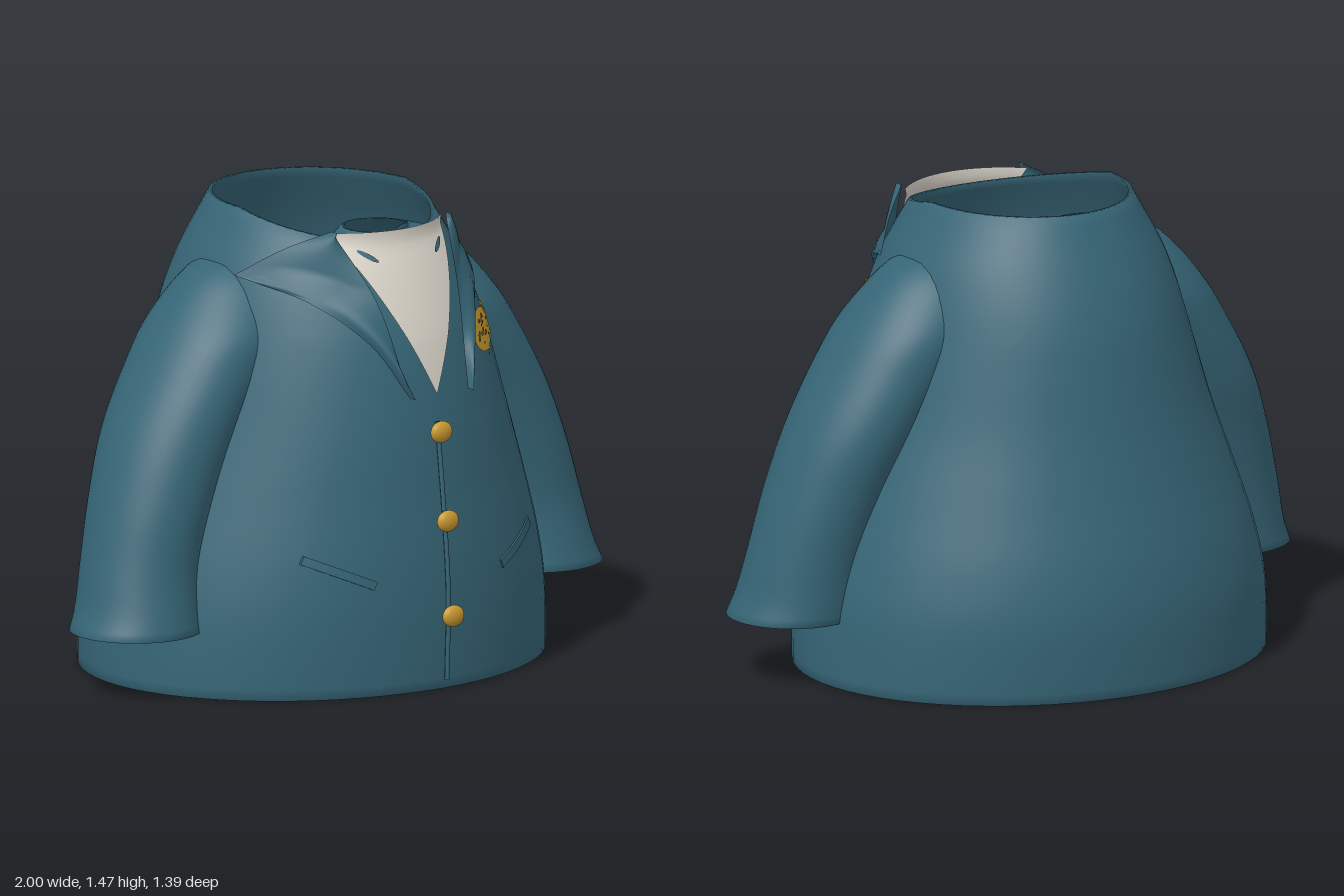
import * as THREE from 'three';
import { mergeGeometries } from 'three/addons/utils/BufferGeometryUtils.js';

const mat = (name, color) => new THREE.MeshStandardMaterial({ name, color, side: THREE.DoubleSide });

// Horizontal sections: [y, xMin, xMax, zBack, zFront]
const BODY = [
  [0, -0.765, 0.765, -0.68, 0.63], [0.1, -0.763, 0.763, -0.687, 0.636], [0.25, -0.75, 0.75, -0.69, 0.64],
  [0.4, -0.715, 0.715, -0.67, 0.635], [0.6, -0.65, 0.65, -0.62, 0.615], [0.8, -0.58, 0.58, -0.572, 0.595],
  [1.0, -0.52, 0.52, -0.532, 0.56], [1.1, -0.49, 0.49, -0.51, 0.535], [1.2, -0.46, 0.46, -0.478, 0.505],
  [1.3, -0.423, 0.423, -0.435, 0.47], [1.4, -0.37, 0.37, -0.385, 0.43], [1.465, -0.335, 0.335, -0.35, 0.4],
];
const SLEEVE = [
  [0.205, 0.585, 1.0, -0.11, 0.302], [0.26, 0.59, 0.975, -0.112, 0.29], [0.4, 0.575, 0.94, -0.122, 0.265],
  [0.6, 0.51, 0.885, -0.155, 0.26], [0.8, 0.41, 0.81, -0.195, 0.26], [1.0, 0.27, 0.7, -0.216, 0.262],
  [1.1, 0.19, 0.635, -0.22, 0.255], [1.2, 0.11, 0.555, -0.195, 0.215], [1.26, 0.085, 0.495, -0.165, 0.18],
  [1.3, 0.09, 0.435, -0.13, 0.14], [1.325, 0.12, 0.34, -0.1, 0.11],
];

// Smooth section lookup by height
function sections(rows) {
  const spline = new THREE.CubicInterpolant(
    new Float32Array(rows.map((r) => r[0])), new Float32Array(rows.flatMap((r) => r.slice(1))), 4);
  return (y) => {
    const [x0, x1, z0, z1] = spline.evaluate(y);
    return { cx: (x0 + x1) / 2, rx: (x1 - x0) / 2, cz: (z0 + z1) / 2, rz: (z1 - z0) / 2 };
  };
}
const bodyAt = sections(BODY);
const NECK_DROP = 0.08, DROP_START = 1.1, DROP_RANGE = 0.365;
const neckSlope = (y, c) => y - NECK_DROP * Math.max(0, c) * Math.max(0, (y - DROP_START) / DROP_RANGE);

// Height of the front body surface at (x, y)
function frontZ(x, y) {
  let t = y;
  if (y > DROP_START) {
    const k = (NECK_DROP / DROP_RANGE) * Math.sqrt(Math.max(0, 1 - (x / 0.42) ** 2));
    t = Math.min(1.465, (y - DROP_START * k) / (1 - k));
  }
  const s = bodyAt(t);
  return s.cz + s.rz * Math.sqrt(Math.max(0, 1 - (x / s.rx) ** 2));
}

// Open cloth tube with an outer and an inner wall
function clothTube(rows, side = 1, warp = (y) => y, wall = 0.014, seg = 64, steps = 44) {
  const at = sections(rows), y0 = rows[0][0], y1 = rows[rows.length - 1][0];
  const pos = [], idx = [], rings = 2 * (steps + 1);
  for (let j = 0; j < rings; j++) {
    const inner = j > steps, f = (inner ? rings - 1 - j : j) / steps;
    const y = y0 + (y1 - y0) * f, s = at(y), w = inner ? wall : 0;
    for (let i = 0; i < seg; i++) {
      const a = (i / seg) * Math.PI * 2;
      pos.push(side * s.cx + (s.rx - w) * Math.sin(a), warp(y, Math.cos(a)), s.cz + (s.rz - w) * Math.cos(a));
    }
  }
  for (let j = 0; j < rings; j++) for (let i = 0; i < seg; i++) {
    const n = (j + 1) % rings, k = (i + 1) % seg;
    const a = j * seg + i, b = j * seg + k, c = n * seg + k, d = n * seg + i;
    idx.push(a, b, c, a, c, d);
  }
  const g = new THREE.BufferGeometry();
  g.setAttribute('position', new THREE.Float32BufferAttribute(pos, 3));
  g.setIndex(idx);
  g.computeVertexNormals();
  return g;
}

// Grid surface from a rule (u, v) -> [x, y, z]
function patch(rule, nu, nv) {
  const g = new THREE.PlaneGeometry(1, 1, nu, nv), p = g.attributes.position;
  for (let i = 0; i < p.count; i++) p.setXYZ(i, ...rule(p.getX(i) + 0.5, p.getY(i) + 0.5));
  g.computeVertexNormals();
  return g;
}

// Lays a flat geometry onto the front of the body
function layOnFront(g, offset) {
  const p = g.attributes.position;
  for (let i = 0; i < p.count; i++) p.setZ(i, p.getZ(i) + frontZ(p.getX(i), p.getY(i)) + offset);
  g.computeVertexNormals();
  return g;
}

function lapel(side) {
  const V = (x, y, z) => new THREE.Vector3(x, y, z);
  const inner = new THREE.CatmullRomCurve3([V(0.225, 1.43, 0.355), V(0.16, 1.22, 0.5), V(0.115, 0.93, 0.605)]);
  const top = new THREE.CatmullRomCurve3([V(0.225, 1.43, 0.355), V(0.335, 1.37, 0.25), V(0.44, 1.285, 0.14)]);
  const low = new THREE.CatmullRomCurve3(
    [V(0.44, 1.285, 0.14), V(0.32, 1.215, 0.37), V(0.2, 1.09, 0.525), V(0.115, 0.93, 0.605)]);
  return patch((u, v) => {
    const t = 1 - v, split = 0.4;
    const o = t < split ? top.getPoint(t / split) : low.getPoint((t - split) / (1 - split));
    const p = inner.getPoint(t).lerp(o, u);
    const z = Math.max(p.z + 0.03 * Math.sin(Math.PI * u), frontZ(p.x, p.y) + 0.03);
    return [side * p.x, p.y, u > 0.99 && p.x > 0.36 ? p.z : z];
  }, 12, 40);
}

export function createModel() {
  const jacket = new THREE.Group();
  jacket.name = 'jacket';
  const cloth = mat('teal cloth', 0x366576), shirt = mat('off-white shirt', 0xd8d2c7);
  const gold = mat('gold', 0xc8982f), dark = mat('dark bronze', 0x6a5a30);
  const add = (name, geometry, material) => {
    const m = new THREE.Mesh(geometry, material);
    m.name = name;
    jacket.add(m);
    return m;
  };

  add('body', clothTube(BODY, 1, neckSlope), cloth);

  // Shirt front: a V filling the neck
  add('shirtFront', patch((u, v) => {
    const x = (u * 2 - 1) * 0.225 * v, y = 0.925 + 0.497 * v;
    return [x, y, frontZ(x, y) + 0.022 + 0.01 * v];
  }, 16, 20), shirt);

  // Mirrored parts
  for (const side of [1, -1]) {
    const label = side > 0 ? 'left' : 'right';
    add(label + 'Sleeve', clothTube(SLEEVE, side, undefined, 0.012, 48), cloth);
    add(label + 'Lapel', lapel(side), cloth);

    const welt = new THREE.BoxGeometry(0.218, 0.028, 0.008, 10, 1, 1);
    welt.rotateZ(side * 0.42).translate(side * 0.35, 0.398, 0);
    add(label + 'Pocket', layOnFront(welt, 0.006).toNonIndexed(), cloth).geometry.computeVertexNormals();

    // Small slit on the shirt
    const slit = new THREE.CircleGeometry(1, 12);
    slit.scale(0.032, 0.008, 1).rotateZ(side * 0.6).translate(side * 0.138, 1.352, 0);
    add(label + 'ShirtSlit', layOnFront(slit, 0.036), cloth);
  }

  // Front closure and buttons
  const seam = new THREE.CatmullRomCurve3([[0.03, 0.645], [0.3, 0.652], [0.55, 0.632], [0.84, 0.597]]
    .map(([y, z]) => new THREE.Vector3(0, y, z)));
  add('frontSeam', new THREE.TubeGeometry(seam, 20, 0.008, 6), cloth);
  for (const [y, z] of [[0.81, 0.618], [0.533, 0.65], [0.237, 0.677]]) {
    const b = add('button', new THREE.SphereGeometry(1, 24, 16), gold);
    b.scale.set(0.04, 0.034, 0.021);
    b.position.set(0, y, z);
  }

  // Chest badge with ragged edge and specks
  let seed = 7;
  const rnd = () => (seed = (seed * 16807) % 2147483647) / 2147483647;
  const spot = (x, y, r, offset) =>
    layOnFront(new THREE.CircleGeometry(r, 6).translate(x, y, 0), offset);
  const disc = new THREE.RingGeometry(0.001, 1, 32, 4).scale(0.075, 0.064, 1).translate(0.292, 1.067, 0);
  add('badge', layOnFront(disc, 0.014), gold);
  const flecks = [], specks = [];
  for (let i = 0; i < 22; i++) {
    const a = (rnd() - 0.5) * 2.8, d = 0.95 + rnd() * 0.3;
    flecks.push(spot(0.292 + 0.078 * d * Math.cos(a), 1.067 + 0.064 * d * Math.sin(a), 0.004 + 0.004 * rnd(), 0.014));
    const b = rnd() * Math.PI * 2, e = Math.sqrt(rnd()) * 0.75;
    specks.push(spot(0.292 + 0.07 * e * Math.cos(b), 1.067 + 0.06 * e * Math.sin(b), 0.004 + 0.004 * rnd(), 0.018));
  }
  add('badgeFlecks', mergeGeometries(flecks), gold);
  add('badgeSpecks', mergeGeometries(specks), dark);

  return jacket;
}
